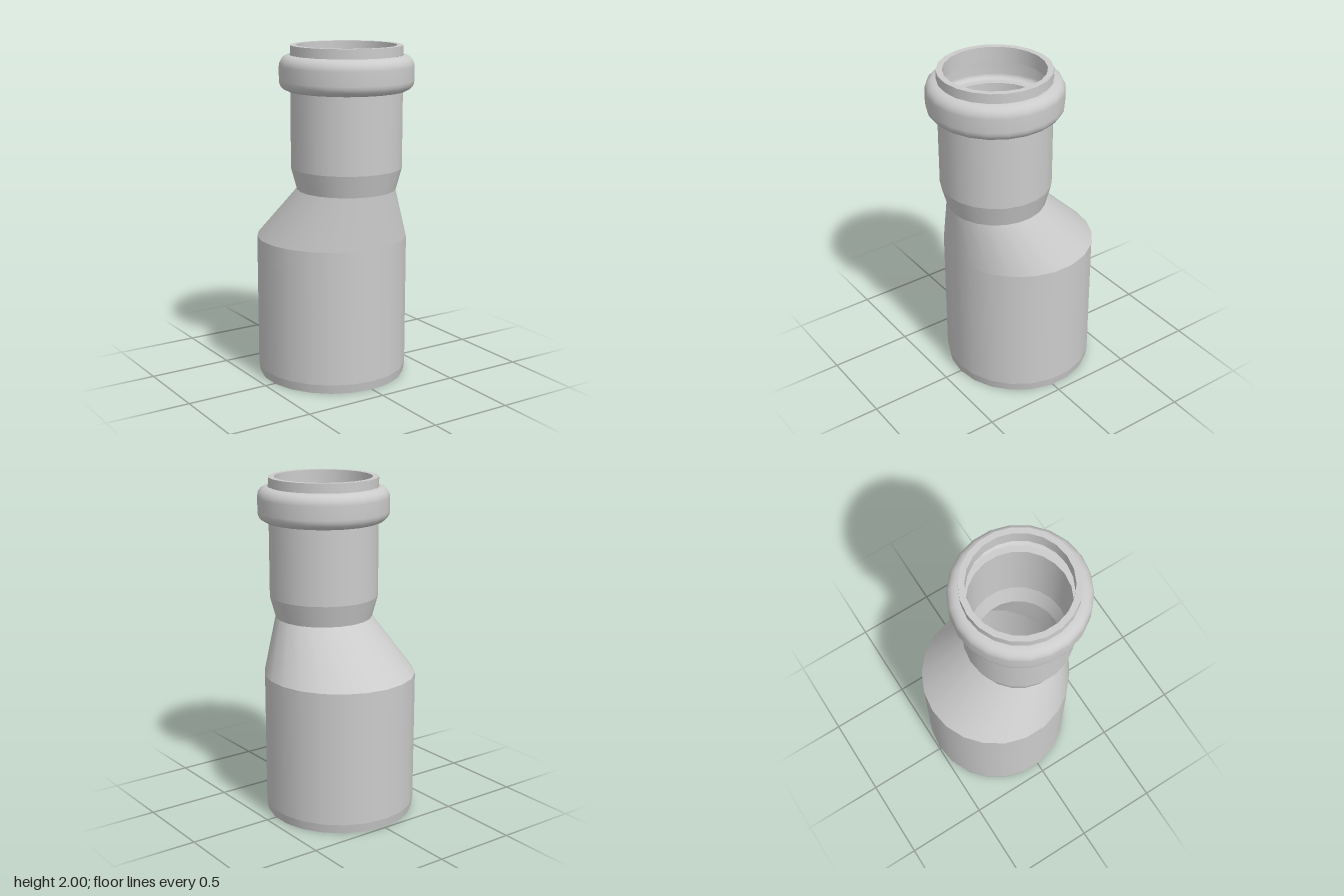
import * as THREE from 'three';
import { mergeGeometries } from 'three/addons/utils/BufferGeometryUtils.js';

const SIDES = 22;
const WIDE_Z = -0.05;   // axis of the wide spigot
const NARROW_Z = 0.11;  // axis of the narrow socket
const material = new THREE.MeshStandardMaterial({ color: 0xcccccc, side: THREE.DoubleSide });

// One smooth band turned from [radius, y] points; rising points face outwards.
const band = (points, z) =>
  new THREE.LatheGeometry(points.map(([r, y]) => new THREE.Vector2(r, y)), SIDES).translate(0, 0, z);

// A run of bands with a sharp edge at every profile point.
const sharpBands = (points, z) => points.slice(1).map((p, i) => band([points[i], p], z));

// Conical band sheared so that its two ends sit on different axes.
function eccentricBand([r0, y0, z0], [r1, y1, z1]) {
  const slope = (z1 - z0) / (y1 - y0);
  const shear = new THREE.Matrix4().set(
    1, 0, 0, 0,
    0, 1, 0, 0,
    0, slope, 1, z0 - slope * y0,
    0, 0, 0, 1);
  return band([[r0, y0], [r1, y1]], 0).applyMatrix4(shear);
}

// Points on a circular arc in the profile plane, angles in quarter turns.
function arc(r, y, radius, from, to, steps = 5) {
  return Array.from({ length: steps + 1 }, (_, i) => {
    const a = (from + (to - from) * i / steps) * Math.PI / 2;
    return [r + radius * Math.cos(a), y + radius * Math.sin(a)];
  });
}

export function createModel() {
  const group = new THREE.Group();
  const add = (name, bands) => {
    const mesh = new THREE.Mesh(mergeGeometries(bands), material);
    mesh.name = name;
    group.add(mesh);
  };

  // Wide lower pipe with chamfered end
  add('wideSpigot', sharpBands(
    [[0.415, 0.855], [0.415, 0], [0.44, 0], [0.45, 0.055], [0.45, 0.855]], WIDE_Z));

  // Offset cone, straight along the front
  add('eccentricCone', [
    eccentricBand([0.45, 0.855, WIDE_Z], [0.29, 1.165, NARROW_Z]),
    eccentricBand([0.257, 1.165, NARROW_Z], [0.415, 0.855, WIDE_Z]),
  ]);

  // Flared narrow pipe
  add('narrowSocket', [
    ...sharpBands([[0.29, 1.165], [0.325, 1.295], [0.325, 1.74]], NARROW_Z),
    ...sharpBands([[0.29, 1.775], [0.29, 1.295], [0.257, 1.165]], NARROW_Z),
  ]);

  // Rounded hollow bead with a seal groove inside
  add('sealBead', [
    band([...arc(0.328, 1.802, 0.062, -1, 0), ...arc(0.328, 1.883, 0.062, 0, 1)], NARROW_Z),
    band([[0.29, 1.91], ...arc(0.325, 1.88, 0.03, 1, 0), ...arc(0.325, 1.805, 0.03, 0, -1), [0.29, 1.775]], NARROW_Z),
  ]);

  // Collar at the mouth
  add('mouthRim', sharpBands(
    [[0.325, 1.945], [0.325, 2], [0.29, 2], [0.29, 1.91]], NARROW_Z));

  return group;
}
